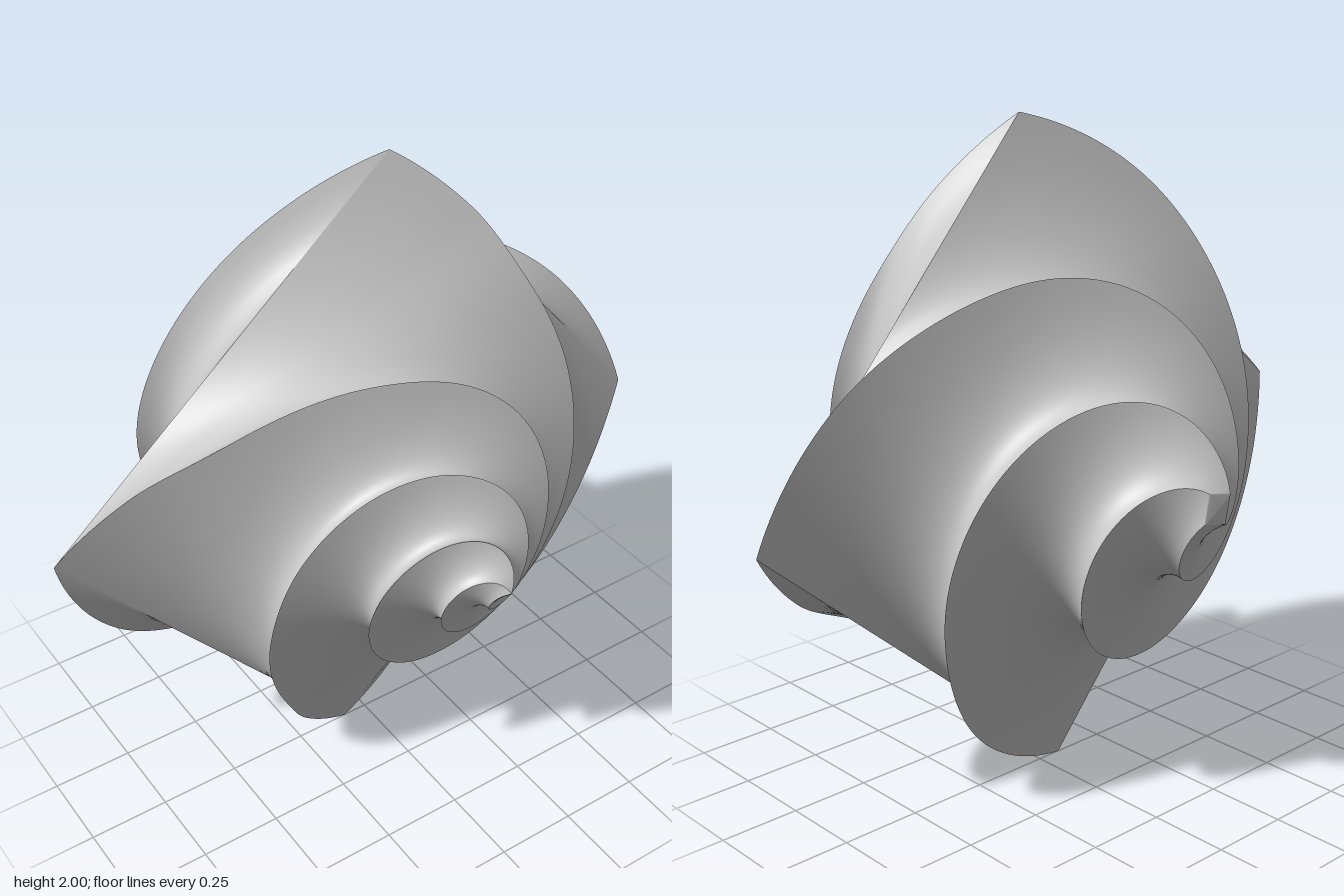
import * as THREE from 'three';

const RAD = Math.PI / 180;
const FRONT_TIP = 0.7, BACK_TIP = -0.7;

// Twist in degrees (clockwise seen from the front) against depth z
const backTwist = [[-0.7, -243], [-0.605, -199], [-0.445, -135], [-0.28, -76], [-0.2, -50], [-0.1, -25], [0, 0]];
const frontTwist = [[0, 0], [0.1, 15], [0.207, 33], [0.31, 65], [0.38, 99], [0.465, 149], [0.525, 187], [0.58, 230], [0.64, 283], [0.7, 340]];

// Corner radius of the square section, tapering to both ends
function radiusAt(z) {
  if (z >= 0) return 1.003 * Math.max(0, 1 - z / FRONT_TIP);
  return z <= BACK_TIP + 1e-6 ? 0 : 1.003 * (1 + z / 0.74);
}

// One twisted side of a pyramid: a grid of square edges swept along z
function twistedFace(keys, side, rows = 110, cols = 20) {
  const spline = new THREE.SplineCurve(keys.map(([z, t]) => new THREE.Vector2(z, t)));
  const rings = spline.getPoints(rows);
  const pos = [], index = [];
  rings.forEach(({ x: z, y: twist }, j) => {
    const r = radiusAt(z);
    const a = (85.5 - twist + side * 90) * RAD;
    const b = a + Math.PI / 2;
    for (let i = 0; i <= cols; i++) {
      const u = i / cols;
      pos.push(
        r * THREE.MathUtils.lerp(Math.cos(a), Math.cos(b), u),
        r * THREE.MathUtils.lerp(Math.sin(a), Math.sin(b), u),
        z
      );
      if (j < rows && i < cols) {
        const p = j * (cols + 1) + i, q = p + cols + 1;
        index.push(p, p + 1, q + 1, p, q + 1, q);
      }
    }
  });
  const geo = new THREE.BufferGeometry();
  geo.setAttribute('position', new THREE.Float32BufferAttribute(pos, 3));
  geo.setIndex(index);
  geo.computeVertexNormals();
  return geo;
}

export function createModel() {
  const model = new THREE.Group();
  model.name = 'twistedBipyramid';
  const material = new THREE.MeshStandardMaterial({ color: 0xcccccc, side: THREE.DoubleSide });

  // Four spiralling faces on each half; separate meshes keep the ridges sharp
  for (const [name, keys] of [['front', frontTwist], ['back', backTwist]]) {
    const half = new THREE.Group();
    half.name = name + 'Pyramid';
    for (let side = 0; side < 4; side++) {
      const face = new THREE.Mesh(twistedFace(keys, side), material);
      face.name = name + 'SpiralFace' + (side + 1);
      half.add(face);
    }
    model.add(half);
  }

  model.position.y = 1;
  return model;
}
